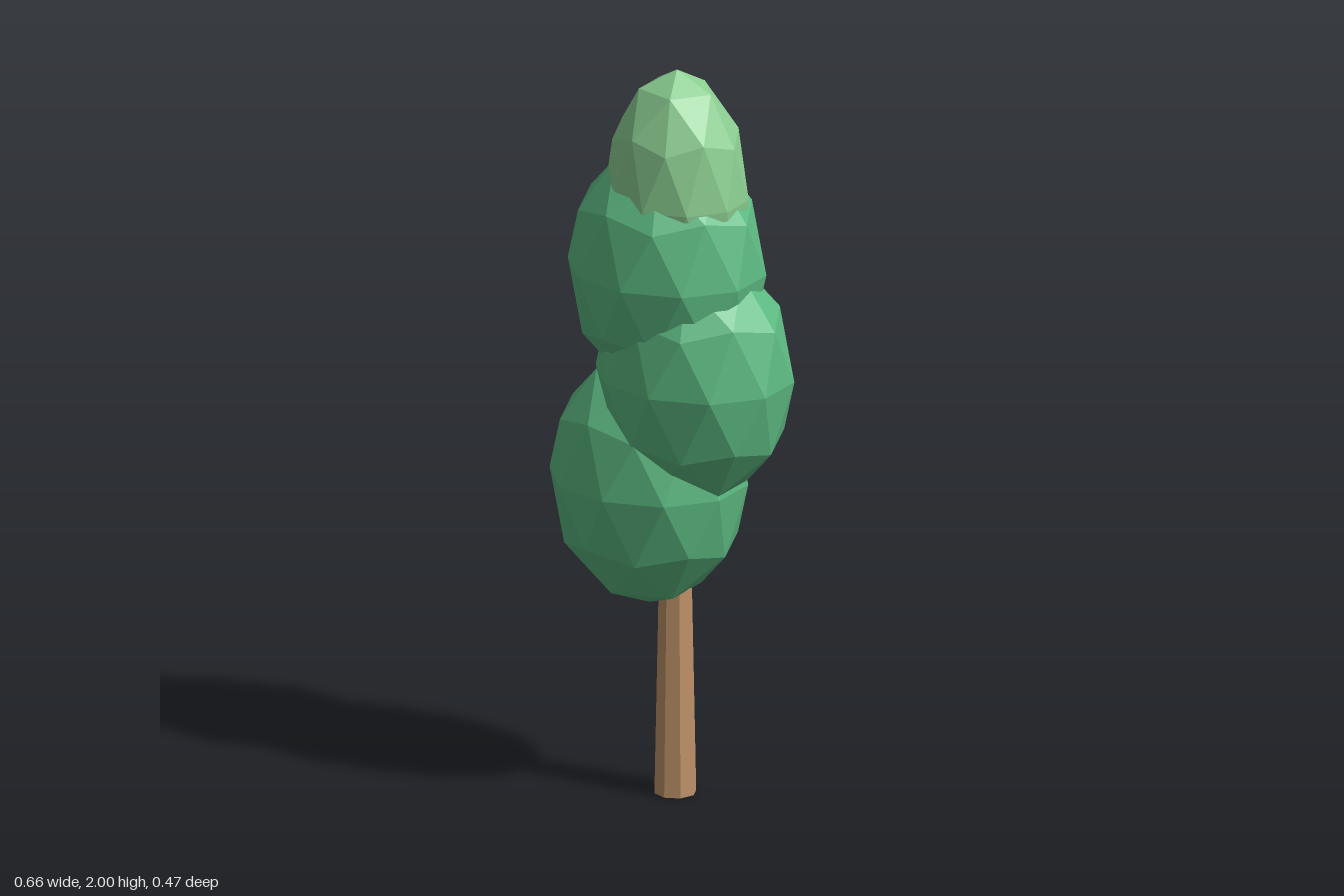
import * as THREE from 'three';

const mat = (color) => new THREE.MeshStandardMaterial({ color, flatShading: true });

// Stretched low-poly ball with a vertex pointing straight up
function foliage(name, material, [x, y], [rx, ry, rz]) {
  const geo = new THREE.IcosahedronGeometry(1, 1);
  geo.rotateZ(-Math.atan(2 / (1 + Math.sqrt(5))));
  geo.scale(rx, ry, rz);
  geo.computeVertexNormals();
  const mesh = new THREE.Mesh(geo, material);
  mesh.name = name;
  mesh.position.set(x, y, 0);
  return mesh;
}

export function createModel() {
  const tree = new THREE.Group();
  tree.name = 'tree';

  // Tapered eight-sided trunk, ending inside the lowest foliage
  const height = 0.7;
  const trunk = new THREE.Mesh(
    new THREE.CylinderGeometry(0.042, 0.056, height, 8), mat(0xc0936a));
  trunk.name = 'trunk';
  trunk.position.set(0.01, height / 2, 0);
  tree.add(trunk);

  // Three staggered clumps of foliage
  const green = mat(0x5dbb83);
  const size = [0.271, 0.35, 0.235];
  tree.add(
    foliage('lowerFoliage', green, [-0.07, 0.86], size),
    foliage('middleFoliage', green, [0.07, 1.17], size),
    foliage('upperFoliage', green, [-0.015, 1.45], size));

  // Paler, narrower crown
  tree.add(foliage('crown', mat(0x8ccf92), [0.015, 1.656], [0.195, 0.344, 0.175]));

  return tree;
}
